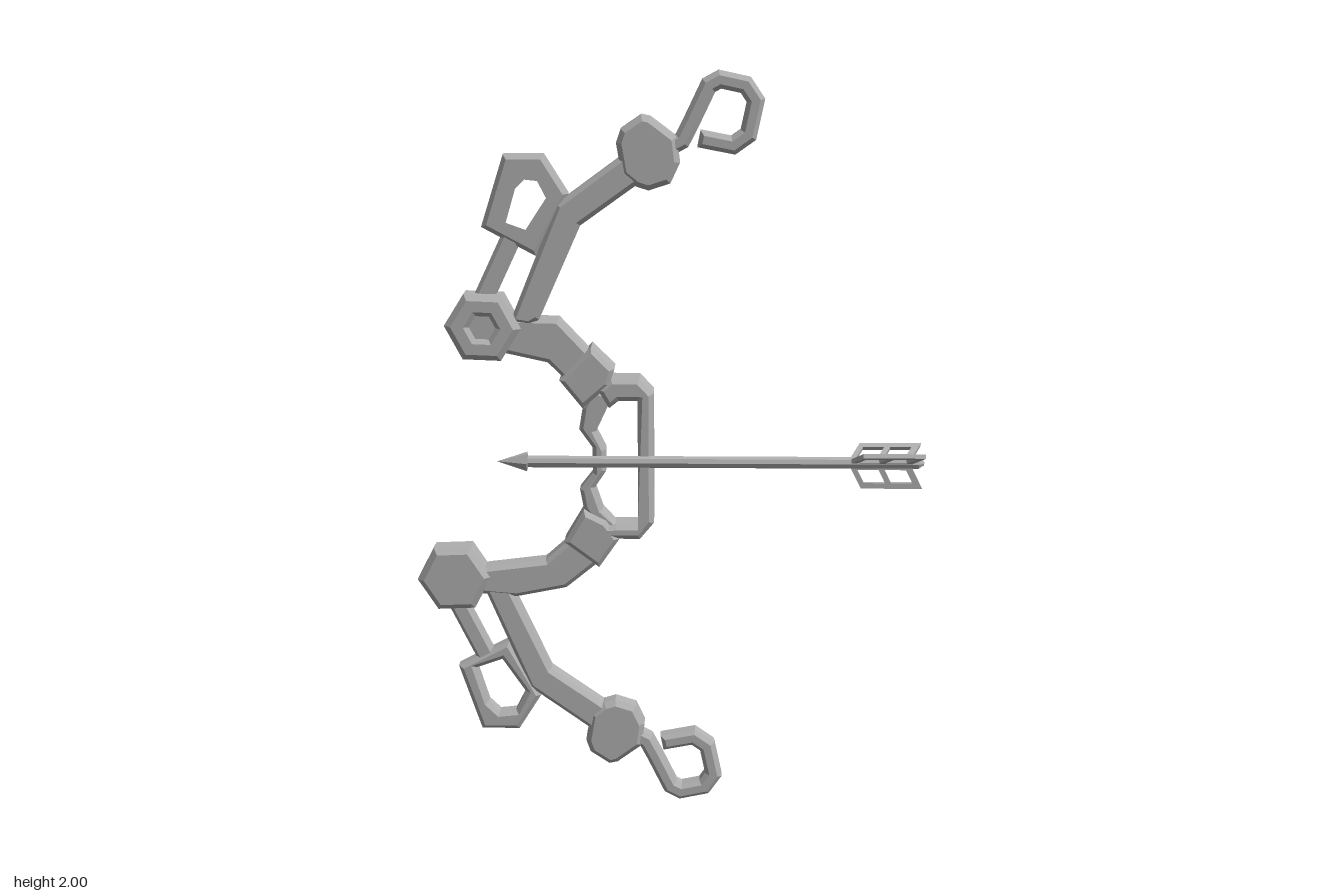
import * as THREE from 'three';

const steel = new THREE.MeshStandardMaterial({ color: 0xb0b0b0 });
steel.name = 'steel grey';

function add(parent, name, geometry) {
  const mesh = new THREE.Mesh(geometry, steel);
  mesh.name = name;
  parent.add(mesh);
  return mesh;
}

const vectors = (points) => points.map(([x, y]) => new THREE.Vector2(x, y));

// Bevelled plate whose full outline is `points`, spanning z from back to front
function plate(points, back, front, bevel = 0.012, hole = null) {
  const shape = new THREE.Shape(vectors(points));
  if (hole) shape.holes.push(new THREE.Path(vectors(hole)));
  const geometry = new THREE.ExtrudeGeometry(shape, {
    depth: front - back - 2 * bevel, bevelEnabled: bevel > 0, bevelSegments: 1,
    bevelSize: bevel, bevelThickness: bevel, bevelOffset: -bevel,
  });
  return geometry.translate(0, 0, back + bevel);
}

// Outline of an open bar that follows a centre line, with mitred corners
function barOutline(path, width) {
  const line = vectors(path), left = [], right = [];
  line.forEach((p, i) => {
    const a = p.clone().sub(line[Math.max(i - 1, 0)]).normalize();
    const b = line[Math.min(i + 1, line.length - 1)].clone().sub(p).normalize();
    const dir = a.clone().add(b).normalize();
    const cos = i > 0 && i < line.length - 1 ? dir.dot(b) : 1;
    const n = new THREE.Vector2(-dir.y, dir.x).multiplyScalar(width / 2 / cos);
    left.push([p.x + n.x, p.y + n.y]);
    right.unshift([p.x - n.x, p.y - n.y]);
  });
  return left.concat(right);
}

function hexagon(x, y, radius, turn) {
  return Array.from({ length: 6 }, (_, i) => {
    const a = turn + i * Math.PI / 3;
    return [x + radius * Math.cos(a), y + radius * Math.sin(a)];
  });
}

// One bow limb; the lower limb is the upper one flipped and shifted
function makeLimb(name, place, dz) {
  const limb = new THREE.Group();
  limb.name = name;
  limb.position.z = dz;
  const put = (part, points, back, front, bevel, hole) =>
    add(limb, part, plate(points.map(place), back, front, bevel, hole && hole.map(place)));

  // Pivot nut with a shallow hexagonal recess
  put('pivotNut', hexagon(-0.482, 1.346, 0.1, -0.04), -0.058, 0.026, 0.016,
    hexagon(-0.482, 1.346, 0.03, -0.04));
  put('pivotCore', hexagon(-0.482, 1.346, 0.045, -0.04), -0.046, 0.014, 0);

  // Main bent arm
  put('limbArm', [[-0.41, 1.36], [-0.285, 1.665], [-0.1, 1.8], [-0.05, 1.735],
    [-0.225, 1.61], [-0.335, 1.365], [-0.36, 1.35]], -0.05, 0.01);

  // Outer brace loop and its strut
  put('braceLoop', [[-0.48, 1.605], [-0.42, 1.79], [-0.317, 1.79], [-0.255, 1.69], [-0.34, 1.53]],
    -0.046, 0.006, 0.012,
    [[-0.43, 1.61], [-0.4, 1.71], [-0.37, 1.74], [-0.325, 1.735], [-0.297, 1.68], [-0.36, 1.585]]);
  put('braceStrut', barOutline([[-0.5, 1.375], [-0.4, 1.585]], 0.052), -0.04, 0, 0.01);

  // Clip and open hook at the tip
  put('tipClip', [[-0.132, 1.82], [-0.12, 1.855], [-0.068, 1.89], [-0.045, 1.885], [0.022, 1.835],
    [0.03, 1.77], [0.006, 1.718], [-0.05, 1.7], [-0.082, 1.71], [-0.118, 1.74]], -0.05, 0.016, 0.014);
  put('tipHook', barOutline([[-0.03, 1.79], [0.035, 1.825], [0.058, 1.87], [0.102, 1.962],
    [0.13, 1.977], [0.195, 1.963], [0.221, 1.925], [0.203, 1.84], [0.165, 1.813], [0.078, 1.83]], 0.043),
  -0.045, 0.008, 0.011);
  return limb;
}

function makeHandle() {
  const handle = new THREE.Group();
  handle.name = 'handle';
  // Guard on the string side
  add(handle, 'handGuard', plate([[-0.185, 1.18], [-0.15, 1.21], [-0.075, 1.21], [-0.038, 1.17],
    [-0.038, 0.815], [-0.075, 0.77], [-0.16, 0.77], [-0.19, 0.8], [-0.14, 0.81],
    [-0.08, 0.81], [-0.08, 1.15], [-0.13, 1.15], [-0.155, 1.13]], -0.078, 0.016, 0.013));
  // Finger grip
  add(handle, 'fingerGrip', plate([[-0.14, 1.16], [-0.2, 1.18], [-0.225, 1.13], [-0.235, 1.07],
    [-0.2, 1.02], [-0.2, 0.95], [-0.235, 0.905], [-0.225, 0.85], [-0.19, 0.8], [-0.13, 0.8],
    [-0.175, 0.85], [-0.195, 0.91], [-0.165, 0.955], [-0.165, 1.015], [-0.19, 1.065], [-0.155, 1.14]],
  -0.06, 0.002, 0.011));
  // Sockets joining the handle to the arms
  add(handle, 'upperSocket', plate([[-0.285, 1.205], [-0.2, 1.295], [-0.14, 1.235], [-0.155, 1.19],
    [-0.225, 1.13]], -0.074, 0.016, 0.012));
  add(handle, 'lowerSocket', plate([[-0.278, 0.76], [-0.225, 0.85], [-0.165, 0.82], [-0.13, 0.77],
    [-0.185, 0.69]], -0.074, 0.016, 0.012));
  // Arms running out to the pivots
  add(handle, 'upperArm', plate([[-0.46, 1.37], [-0.285, 1.367], [-0.19, 1.265], [-0.25, 1.185],
    [-0.315, 1.25], [-0.45, 1.28]], -0.06, 0.004));
  add(handle, 'lowerArm', plate([[-0.53, 0.61], [-0.53, 0.68], [-0.33, 0.705], [-0.235, 0.79],
    [-0.18, 0.705], [-0.275, 0.627], [-0.41, 0.6]], -0.066, 0));
  return handle;
}

function makeArrow() {
  const arrow = new THREE.Group();
  arrow.name = 'arrow';
  arrow.position.set(0, 0.987, 0.014);
  add(arrow, 'shaft', new THREE.CylinderGeometry(0.016, 0.016, 1.03, 8)
    .toNonIndexed().rotateZ(-Math.PI / 2).translate(0.145, 0, 0)).geometry.computeVertexNormals();
  add(arrow, 'arrowHead', new THREE.ConeGeometry(0.027, 0.08, 6)
    .toNonIndexed().rotateZ(Math.PI / 2).translate(-0.412, 0, 0)).geometry.computeVertexNormals();
  add(arrow, 'nock', new THREE.CylinderGeometry(0.006, 0.016, 0.015, 8)
    .toNonIndexed().rotateZ(-Math.PI / 2).translate(0.667, 0, 0)).geometry.computeVertexNormals();
  // Three swept vanes, each a frame with two windows
  const slant = (x0, x1, r0, r1) => [[x0, r0], [x1, r0], [x1, r1], [x0, r1]]
    .map(([x, r]) => [x + r * 0.5, r]);
  const vane = new THREE.Shape(vectors(slant(0.475, 0.637, 0.005, 0.069)));
  for (const x of [0.49, 0.562])
    vane.holes.push(new THREE.Path(vectors(slant(x, x + 0.056, 0.018, 0.054))));
  for (const angle of [-Math.PI / 3, Math.PI / 3, Math.PI]) {
    add(arrow, 'vane', new THREE.ExtrudeGeometry(vane, { depth: 0.012, bevelEnabled: false })
      .translate(0, 0, -0.006).rotateX(angle));
  }
  return arrow;
}

export function createModel() {
  const model = new THREE.Group();
  model.name = 'bowAndArrow';
  model.add(
    makeLimb('upperLimb', ([x, y]) => [x, y], 0),
    makeLimb('lowerLimb', ([x, y]) => [x - 0.095, 2 - y], -0.013),
    makeHandle(),
    makeArrow(),
  );
  return model;
}
